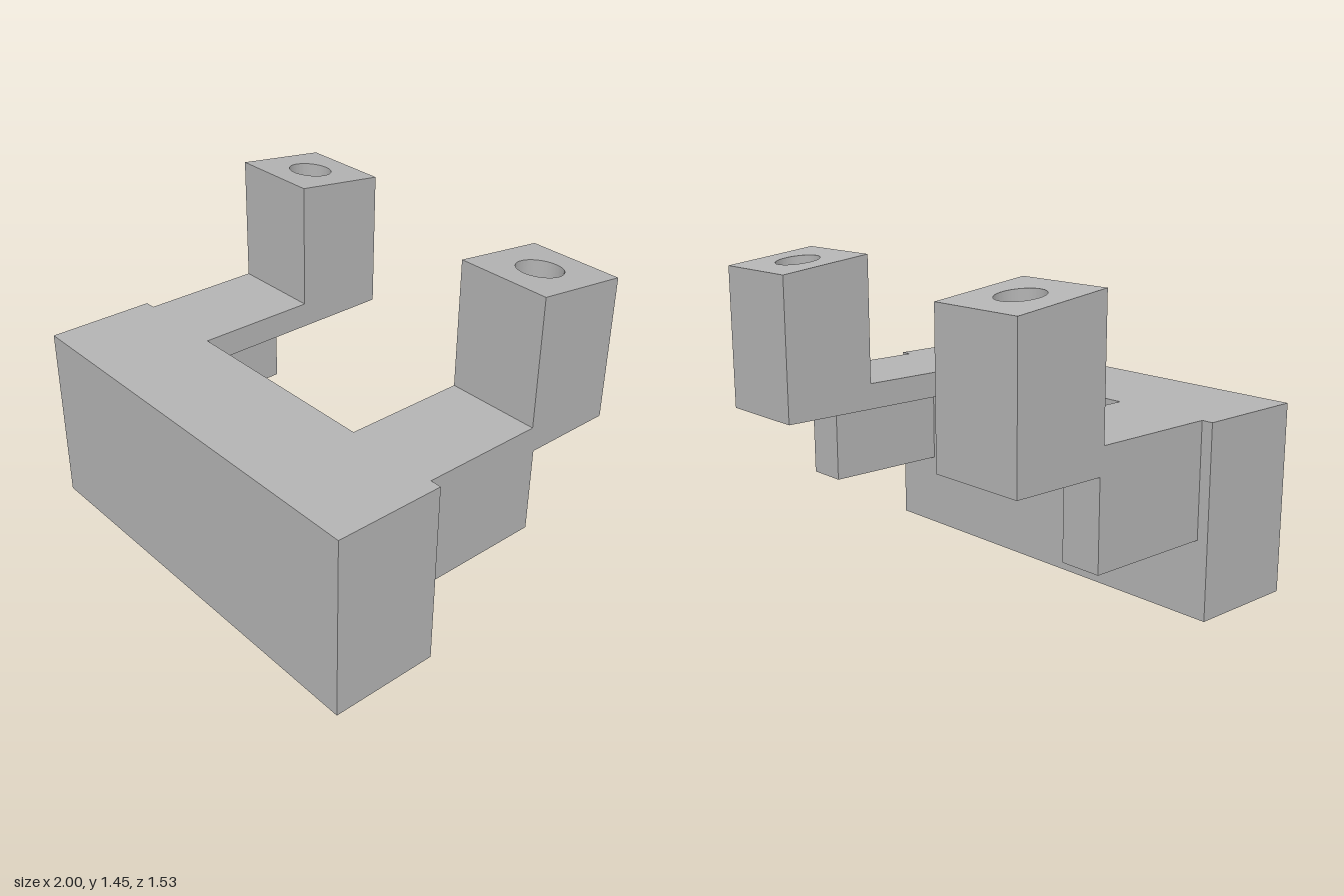
import * as THREE from 'three';
import { toCreasedNormals } from 'three/addons/utils/BufferGeometryUtils.js';

const grey = new THREE.MeshStandardMaterial({ color: 0xb3b3b3 });
grey.name = 'plain grey';

function addMesh(parent, name, geometry) {
  const mesh = new THREE.Mesh(geometry, grey);
  mesh.name = name;
  parent.add(mesh);
  return mesh;
}

// Box given by its limits on each axis
function block(parent, name, [x0, x1], [y0, y1], [z0, z1]) {
  const g = new THREE.BoxGeometry(x1 - x0, y1 - y0, z1 - z0);
  g.translate((x0 + x1) / 2, (y0 + y1) / 2, (z0 + z1) / 2);
  return addMesh(parent, name, g);
}

// Box with vertical round holes [x, z, radius]; topY(z) may slope the upper face
function drilled(parent, name, [x0, x1], [y0, y1], [z0, z1], holes, topY) {
  const shape = new THREE.Shape();
  shape.moveTo(x0, -z1).lineTo(x1, -z1).lineTo(x1, -z0).lineTo(x0, -z0).closePath();
  for (const [x, z, r] of holes) {
    shape.holes.push(new THREE.Path().absarc(x, -z, r, 0, Math.PI * 2, true));
  }
  const g = new THREE.ExtrudeGeometry(shape, { depth: y1 - y0, bevelEnabled: false, curveSegments: 48 });
  g.rotateX(-Math.PI / 2).translate(0, y0, 0);
  if (topY) {
    const p = g.attributes.position;
    for (let i = 0; i < p.count; i++) {
      if (p.getY(i) > y1 - 0.001) p.setY(i, topY(p.getZ(i)));
    }
  }
  return addMesh(parent, name, toCreasedNormals(g, 0.5));
}

export function createModel() {
  const model = new THREE.Group();
  model.name = 'mountingBracket';

  // Base bar with two blind holes in its underside
  const base = new THREE.Group();
  base.name = 'base';
  model.add(base);
  drilled(base, 'baseLower', [-1, 1], [0, 0.5], [0.255, 0.765],
    [[0.18, 0.508, 0.145], [-0.535, 0.508, 0.145]]);
  block(base, 'baseUpper', [-1, 1], [0.5, 0.855], [0.255, 0.765]);

  // Mirrored arms, each ending in an upright post with a counterbored hole
  for (const side of [1, -1]) {
    const arm = new THREE.Group();
    arm.name = side > 0 ? 'leftArm' : 'rightArm';
    model.add(arm);
    const span = (a, b) => (side > 0 ? [a, b] : [-b, -a]);
    const x = span(0.503, 0.948);
    const z = [-0.765, -0.32];
    const cx = side * 0.725, cz = -0.543;

    block(arm, 'armPlate', x, [0.735, 0.855], [-0.32, 0.255]);
    block(arm, 'armRib', span(0.757, 0.948), [0.345, 0.735], [-0.34, 0.255]);
    drilled(arm, 'postLower', x, [0.735, 1.2], z, [[cx, cz, 0.195]]);
    drilled(arm, 'postUpper', x, [1.2, 1.4], z, [[cx, cz, 0.1]],
      (pz) => 1.445 - 0.055 * (-0.32 - pz) / 0.445);
  }
  return model;
}
